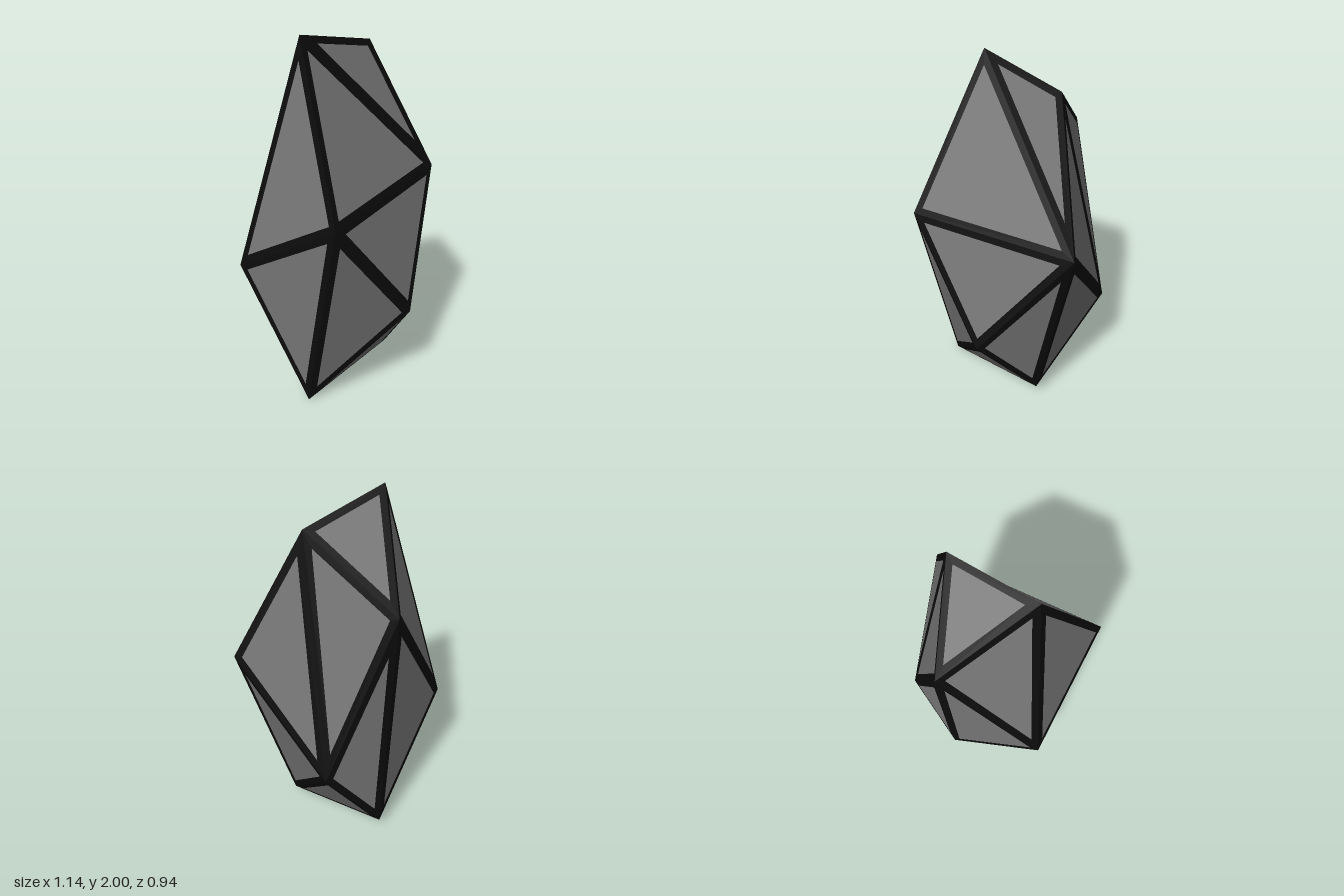
import * as THREE from 'three';

// Corners of the faceted stone
const P = {
  A: [-0.26, 2, 0.03], B: [0.22, 1.91, -0.12], C: [0.57, 1.18, 0.01], D: [-0.30, 1.14, 0.47],
  E: [-0.57, 0.74, -0.15], F: [0.21, 0.5, 0.38], G: [-0.35, 0, 0.23], H: [0.27, 0.07, 0.02],
  I: [-0.13, 1.55, -0.47], J: [0.24, 0.57, -0.45], K: [-0.10, 0.09, -0.43],
};
// Triangular facets by corner
const FACETS = 'ABI ACB ADC AED AIE BCJ BJI DFC DGF DEG CFH FGH CHJ JHK JKI IKE EKG GKH'.split(' ');
const BORDER = 0.038;

function buildMesh(name, points, color) {
  const geometry = new THREE.BufferGeometry().setFromPoints(points);
  geometry.computeVertexNormals();
  const mesh = new THREE.Mesh(geometry, new THREE.MeshStandardMaterial({ color, flatShading: true }));
  mesh.name = name;
  return mesh;
}

export function createModel() {
  const group = new THREE.Group();
  group.name = 'facetedStone';
  const facets = [], borders = [];
  const middle = new THREE.Vector3(0, 1, 0);

  for (const key of FACETS) {
    const v = [...key].map((k) => new THREE.Vector3(...P[k]));
    // Wind every facet outward
    const tri = new THREE.Triangle(...v);
    const normal = tri.getNormal(new THREE.Vector3());
    if (normal.dot(tri.getMidpoint(new THREE.Vector3()).sub(middle)) < 0) v.reverse();

    // Shrink toward the incentre, so the border has an even width
    const len = v.map((_, i) => v[(i + 1) % 3].distanceTo(v[(i + 2) % 3]));
    const perimeter = len[0] + len[1] + len[2];
    const centre = new THREE.Vector3();
    v.forEach((p, i) => centre.addScaledVector(p, len[i] / perimeter));
    const radius = (2 * tri.getArea()) / perimeter;
    const inner = v.map((p) => p.clone().lerp(centre, BORDER / radius));

    facets.push(...inner);
    for (let i = 0; i < 3; i++) {
      const j = (i + 1) % 3;
      borders.push(v[i], v[j], inner[j], v[i], inner[j], inner[i]);
    }
  }

  group.add(buildMesh('stoneFacets', facets, 0x777777));
  group.add(buildMesh('darkEdgeBands', borders, 0x0c0c0c));
  return group;
}
